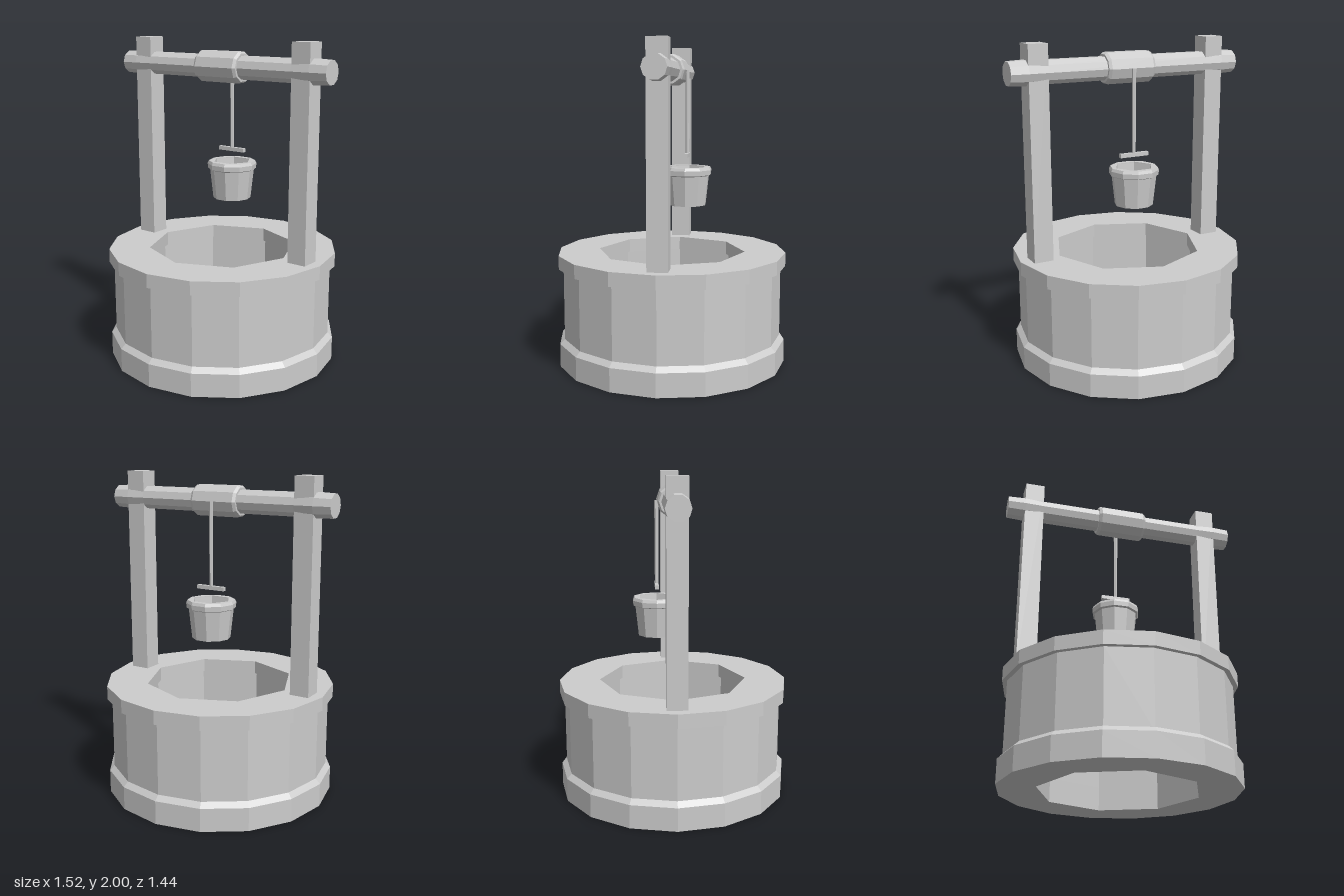
import * as THREE from 'three';

const stone = new THREE.MeshStandardMaterial({ color: 0xcccccc, flatShading: true });
stone.name = 'plain grey';

function add(parent, name, geometry, x = 0, y = 0, z = 0) {
  const mesh = new THREE.Mesh(geometry, stone);
  mesh.name = name;
  mesh.position.set(x, y, z);
  parent.add(mesh);
  return mesh;
}

// Corners of a regular polygon, first corner on the x axis
function corners(radius, sides) {
  return Array.from({ length: sides }, (_, i) => {
    const a = (i / sides) * Math.PI * 2;
    return new THREE.Vector2(radius * Math.cos(a), radius * Math.sin(a));
  });
}

// Flat-topped ring with a polygonal hole, standing from y0 to y1
function ring(rOut, nOut, rIn, nIn, y0, y1) {
  const shape = new THREE.Shape(corners(rOut, nOut));
  shape.holes.push(new THREE.Path(corners(rIn, nIn)));
  return new THREE.ExtrudeGeometry(shape, { depth: y1 - y0, bevelEnabled: false })
    .rotateX(-Math.PI / 2)
    .translate(0, y0, 0);
}

// Turned part from [radius, height] pairs
function turned(profile, sides, start = 0) {
  const points = profile.map(([r, y]) => new THREE.Vector2(r, y));
  return new THREE.LatheGeometry(points, sides, start);
}

export function createModel() {
  const model = new THREE.Group();
  model.name = 'well';

  // Stone wall: footing, sloped ledge, body, overhanging rim
  add(model, 'footing', ring(0.72, 16, 0.49, 8, 0, 0.145));
  add(model, 'footingLedge', new THREE.CylinderGeometry(0.69, 0.72, 0.03, 16, 1, true), 0, 0.16, 0);
  add(model, 'wall', ring(0.69, 16, 0.49, 8, 0.145, 0.62));
  add(model, 'rim', ring(0.72, 16, 0.465, 8, 0.62, 0.705));

  // Posts
  for (const side of [-1, 1]) {
    add(model, side < 0 ? 'rightPost' : 'leftPost',
      new THREE.BoxGeometry(0.122, 1.3, 0.122), side * 0.592, 1.35, 0);
  }

  // Crossbeam with slightly tapered ends
  const beam = add(model, 'crossbeam', turned([
    [0, -0.76], [0.072, -0.76], [0.077, -0.65], [0.073, -0.53],
    [0.073, 0.53], [0.077, 0.65], [0.072, 0.76], [0, 0.76],
  ], 10), 0, 1.835, 0);
  beam.rotation.z = Math.PI / 2;

  // Rope drum with chamfered ends
  const drum = add(model, 'ropeDrum', turned([
    [0.07, -0.157], [0.087, -0.157], [0.098, -0.14],
    [0.098, 0.14], [0.087, 0.157], [0.07, 0.157],
  ], 10), 0, 1.835, 0);
  drum.rotation.z = Math.PI / 2;

  // Rope and hanging bar
  add(model, 'rope', new THREE.CylinderGeometry(0.013, 0.011, 0.53, 6), 0, 1.57, -0.1);
  add(model, 'hangingBar', new THREE.BoxGeometry(0.19, 0.024, 0.024), 0, 1.313, -0.1);

  // Bucket: ten-sided outside, six-sided hollow
  const bucket = new THREE.Group();
  bucket.name = 'bucket';
  bucket.position.set(0, 1, -0.1);
  model.add(bucket);
  const sideways = Math.PI / 2;
  add(bucket, 'bucketBody', turned([[0, 0], [0.119, 0], [0.14, 0.19]], 10, sideways));
  add(bucket, 'bucketBand', turned([
    [0.138, 0.185], [0.153, 0.192], [0.155, 0.222], [0.147, 0.24],
  ], 10, sideways));
  add(bucket, 'bucketLip', ring(0.147, 10, 0.121, 6, 0.234, 0.24));
  add(bucket, 'bucketInside', turned([[0.121, 0.236], [0.1, 0.02], [0, 0.02]], 6, sideways));

  return model;
}
